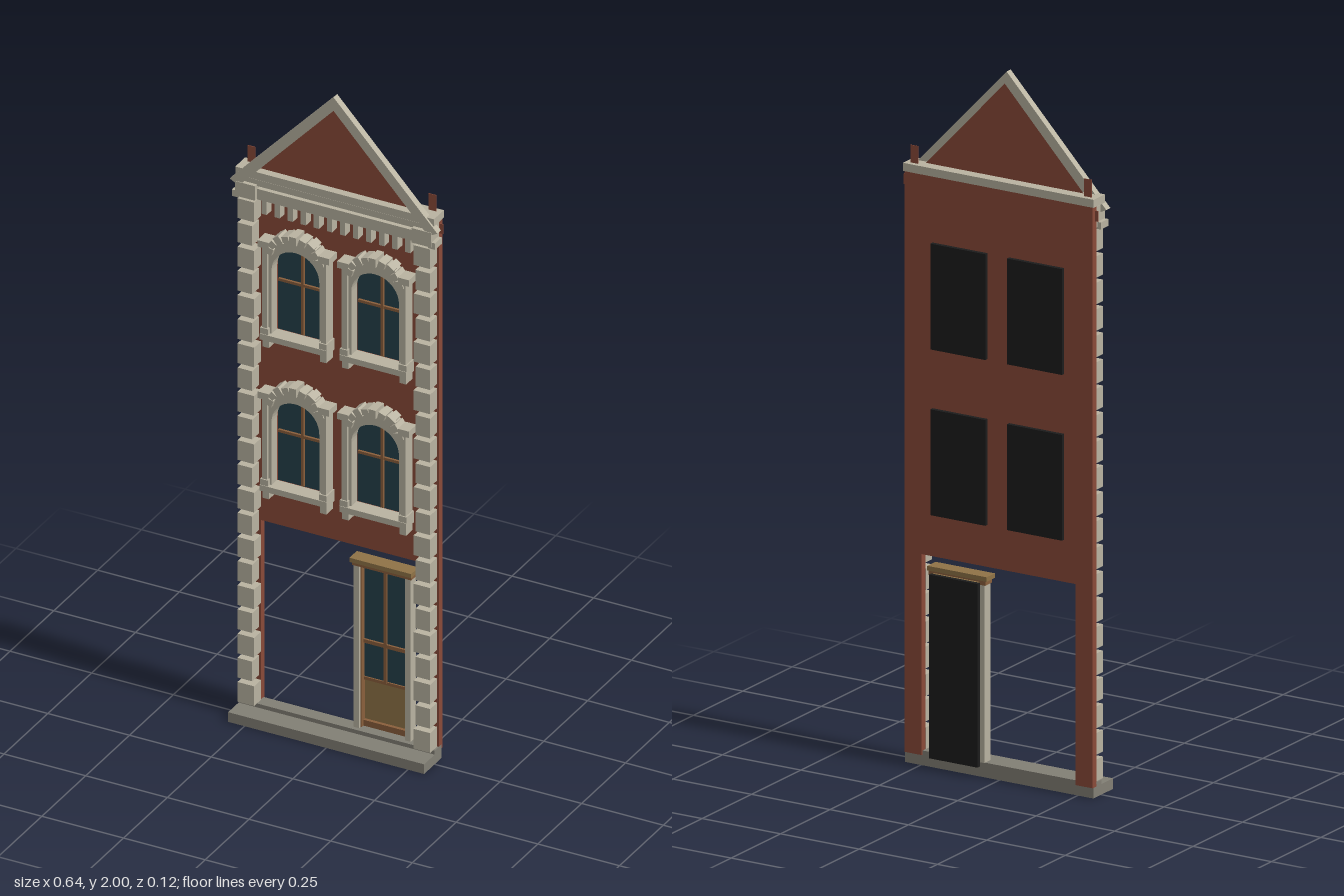
import * as THREE from 'three';

const mat = (name, color, extra = {}) => {
  const m = new THREE.MeshStandardMaterial({ color, ...extra });
  m.name = name;
  return m;
};

export function createModel() {
  const brick = mat('red brick', 0x8a4a39);
  const brickThin = mat('red brick thin', 0x8a4a39, { side: THREE.DoubleSide });
  const stone = mat('pale stone', 0xb9b3a1);
  const step = mat('grey step', 0x827f75);
  const glass = mat('dark glass', 0x25414b);
  const wood = mat('brown wood', 0x8a5f3c);
  const panel = mat('tan panel', 0x8f7347);
  const black = mat('black backing', 0x1c1c1c);

  const root = new THREE.Group();
  root.name = 'townhouseFacade';

  const group = (name, parent = root) => {
    const g = new THREE.Group();
    g.name = name;
    parent.add(g);
    return g;
  };
  // box given by its extents
  const box = (parent, name, m, x0, x1, y0, y1, z0, z1) => {
    const mesh = new THREE.Mesh(new THREE.BoxGeometry(x1 - x0, y1 - y0, z1 - z0), m);
    mesh.position.set((x0 + x1) / 2, (y0 + y1) / 2, (z0 + z1) / 2);
    mesh.name = name;
    parent.add(mesh);
    return mesh;
  };
  const extrude = (parent, name, m, shape, z0, z1) => {
    const geo = new THREE.ExtrudeGeometry(shape, { depth: z1 - z0, bevelEnabled: false, curveSegments: 10 });
    geo.translate(0, 0, z0);
    const mesh = new THREE.Mesh(geo, m);
    mesh.name = name;
    parent.add(mesh);
    return mesh;
  };
  const poly = (pts, Type = THREE.Shape) => new Type(pts.map(p => new THREE.Vector2(...p)));
  // arched outline: straight sides, half-ellipse top
  const arch = (Type, w, y0, spring, top) => {
    const s = new Type();
    s.moveTo(-w, y0);
    s.lineTo(w, y0);
    s.lineTo(w, spring);
    s.absellipse(0, spring, w, top - spring, 0, Math.PI, false);
    s.lineTo(-w, y0);
    return s;
  };

  const floors = [0.72, 1.19];   // window sill heights
  const columns = [-0.122, 0.122];

  // Brick wall with window holes, standing on two piers
  const wall = poly([[-0.3, 0.03], [-0.245, 0.03], [-0.245, 0.6], [0.245, 0.6], [0.245, 0.03],
    [0.3, 0.03], [0.3, 1.68], [-0.3, 1.68]]);
  for (const y of floors) for (const x of columns) {
    wall.holes.push(poly([[x - 0.078, y + 0.01], [x - 0.078, y + 0.28], [x + 0.078, y + 0.28], [x + 0.078, y + 0.01]], THREE.Path));
  }
  extrude(root, 'brickWall', brick, wall, -0.044, -0.024);

  // Front step
  box(root, 'frontStep', step, -0.3, 0.3, 0, 0.03, -0.04, 0.06);
  box(root, 'threshold', step, -0.3, 0.3, 0.03, 0.042, -0.04, 0.0);

  // Corner stones
  for (const s of [-1, 1]) {
    const g = group(s > 0 ? 'leftQuoins' : 'rightQuoins');
    const n = 21, pitch = (1.62 - 0.042) / n;
    for (let i = 0; i < n; i++) {
      const y = 0.042 + i * pitch;
      const inner = i % 2 ? 0.25 : 0.244;
      box(g, 'quoin', stone, Math.min(s * inner, s * 0.295), Math.max(s * inner, s * 0.295),
        y, y + pitch - 0.014, -0.024, 0.016);
    }
    box(g, 'pilasterCap', stone, s * 0.27 - 0.03, s * 0.27 + 0.03, 1.615, 1.66, -0.024, 0.02);
  }

  // Windows
  const buildWindow = (x, y) => {
    const g = group('window');
    g.position.set(x, y, 0);
    const frame = arch(THREE.Shape, 0.088, 0.012, 0.255, 0.335);
    frame.holes.push(arch(THREE.Path, 0.073, 0.018, 0.215, 0.288));
    extrude(g, 'archSurround', stone, frame, -0.024, 0.008);
    box(g, 'glass', glass, -0.078, 0.078, 0.01, 0.28, -0.044, -0.038);
    box(g, 'mullion', wood, -0.004, 0.004, 0.012, 0.28, -0.038, -0.03);
    box(g, 'transom', wood, -0.074, 0.074, 0.163, 0.171, -0.038, -0.031);
    box(g, 'backing', black, -0.0875, 0.0875, 0, 0.3, -0.056, -0.0441);
    box(g, 'sill', stone, -0.102, 0.102, 0, 0.018, -0.024, 0.022);
    for (const s of [-1, 1]) {
      box(g, 'sideColumn', stone, s * 0.09 - 0.008, s * 0.09 + 0.008, 0.018, 0.285, -0.024, 0.016);
      box(g, 'columnCap', stone, s * 0.093 - 0.017, s * 0.093 + 0.017, 0.285, 0.305, -0.024, 0.02);
      box(g, 'columnFoot', stone, s * 0.09 - 0.012, s * 0.09 + 0.012, 0.018, 0.036, -0.024, 0.02);
      box(g, 'sillBracket', stone, s * 0.088 - 0.01, s * 0.088 + 0.01, -0.025, 0, -0.024, 0.014);
    }
    // wedge stones around the arch
    for (let i = 0; i < 9; i++) {
      const a = Math.PI * (0.1 + 0.1 * i);
      const long = i % 2 ? 0.018 : 0.026;
      const v = box(g, 'archStone', stone, -long / 2, long / 2, -0.0105, 0.0105, -0.024, i === 4 ? 0.025 : 0.02);
      v.position.x = Math.cos(a) * 0.081;
      v.position.y = 0.257 + Math.sin(a) * 0.075;
      v.rotation.z = a;
    }
  };
  for (const y of floors) for (const x of columns) buildWindow(x, y);

  // Door
  const door = group('door');
  box(door, 'doorBacking', black, 0.055, 0.21, 0.032, 0.553, -0.062, -0.05);
  box(door, 'doorLeaf', panel, 0.06, 0.205, 0.042, 0.553, -0.05, -0.04);
  box(door, 'doorGlass', glass, 0.066, 0.2, 0.19, 0.545, -0.04, -0.036);
  box(door, 'doorMullion', wood, 0.128, 0.137, 0.19, 0.548, -0.036, -0.03);
  box(door, 'doorRail', wood, 0.062, 0.203, 0.3, 0.311, -0.036, -0.03);
  box(door, 'lowerRail', wood, 0.062, 0.203, 0.185, 0.194, -0.04, -0.032);
  box(door, 'kickBoard', wood, 0.062, 0.203, 0.042, 0.06, -0.04, -0.03);
  for (const [a, b] of [[0.045, 0.062], [0.203, 0.22]]) {
    box(door, 'doorJamb', stone, a, b, 0.042, 0.545, -0.044, -0.012);
    box(door, 'jambEdge', wood, a === 0.045 ? 0.062 : 0.2, a === 0.045 ? 0.066 : 0.203, 0.042, 0.545, -0.04, -0.02);
  }
  box(door, 'doorLintel', wood, 0.042, 0.223, 0.545, 0.557, -0.044, -0.01);
  box(door, 'lintelCap', panel, 0.038, 0.227, 0.557, 0.57, -0.044, -0.002);

  // Cornice with dentils
  const cornice = group('cornice');
  box(cornice, 'corniceSlab', stone, -0.304, 0.304, 1.677, 1.7, -0.045, 0.012);
  box(cornice, 'corniceStep', stone, -0.3, 0.3, 1.655, 1.674, -0.024, 0.008);
  box(cornice, 'corniceBand', stone, -0.24, 0.24, 1.612, 1.645, -0.024, 0.006);
  for (let i = 0; i < 12; i++) {
    const x = -0.22 + i * 0.04;
    box(cornice, 'dentil', stone, x - 0.008, x + 0.008, 1.57, 1.612, -0.024, 0.004);
  }
  for (const s of [-1, 1]) {
    box(cornice, 'endBlock', stone, s * 0.3 - 0.011, s * 0.3 + 0.011, 1.61, 1.63, -0.02, 0.018);
    box(cornice, 'brickTab', brick, s * 0.303 - 0.007, s * 0.303 + 0.007, 1.635, 1.665, -0.032, -0.029);
    box(cornice, 'brickPost', brick, s * 0.277 - 0.012, s * 0.277 + 0.012, 1.68, 1.75, -0.031, -0.029);
  }

  // Gable: thin brick triangle and stone rafters
  const gable = group('gable');
  const face = new THREE.Mesh(new THREE.ShapeGeometry(poly([[-0.256, 1.695], [0.256, 1.695], [0, 1.968]])), brickThin);
  face.position.z = -0.012;
  face.name = 'gableFace';
  gable.add(face);
  for (const s of [-1, 1]) {
    const pts = [[0, 2], [0, 1.958], [s * 0.29, 1.648], [s * 0.318, 1.662]];
    const name = s > 0 ? 'leftRafter' : 'rightRafter';
    extrude(gable, name, stone, poly(pts), -0.003, 0.018);
  }
  return root;
}
